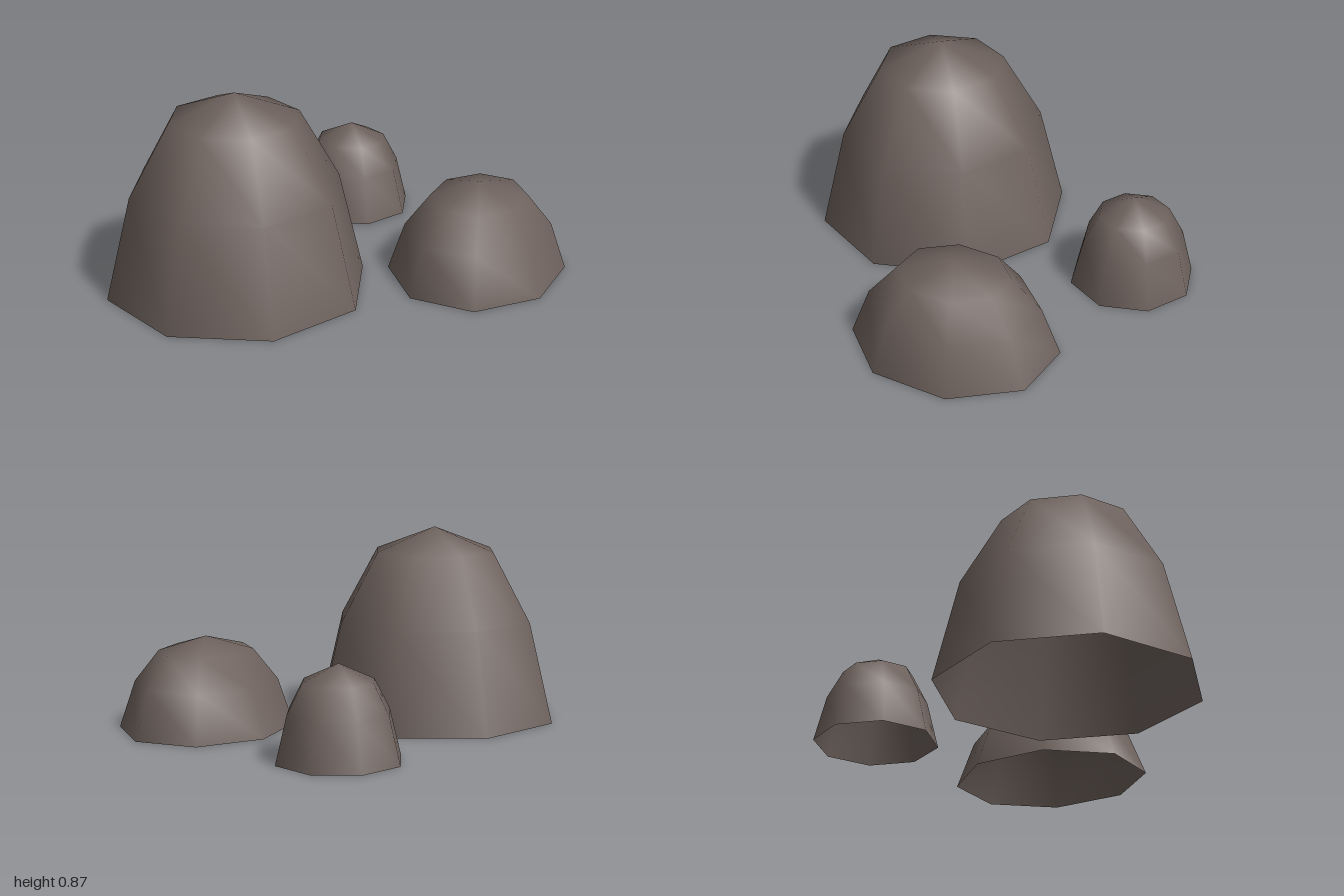
import * as THREE from 'three';
import { mergeVertices } from 'three/addons/utils/BufferGeometryUtils.js';

// Eight-sided open dome. ax and az are the [x, z] half-axes of its base;
// rings are [fraction of base radius, height], the last one being the peak.
function makeRock(name, material, center, ax, az, rings) {
  const profile = rings.map(([r, y]) => new THREE.Vector2(r, y));
  let geometry = new THREE.LatheGeometry(profile, 8);

  // Stretch and turn the round footprint onto its two half-axes
  geometry.applyMatrix4(new THREE.Matrix4().makeBasis(
    new THREE.Vector3(ax[0], 0, ax[1]),
    new THREE.Vector3(0, 1, 0),
    new THREE.Vector3(az[0], 0, az[1])
  ));

  // Weld the seam and peak so the shading is smooth all round
  geometry.deleteAttribute('normal');
  geometry.deleteAttribute('uv');
  geometry = mergeVertices(geometry, 1e-4);
  geometry.computeVertexNormals();

  const mesh = new THREE.Mesh(geometry, material);
  mesh.name = name;
  mesh.position.set(center[0], 0, center[1]);
  return mesh;
}

export function createModel() {
  const group = new THREE.Group();
  group.name = 'rocks';

  const stone = new THREE.MeshStandardMaterial({ color: 0x6e625d, side: THREE.DoubleSide });
  stone.name = 'brown stone';

  group.add(
    // Tall round rock
    makeRock('largeRock', stone, [-0.43, 0.197], [0.57, 0], [0, 0.57],
      [[1, 0], [0.805, 0.452], [0.495, 0.763], [0, 0.87]]),
    // Low oval rock, set diagonally
    makeRock('mediumRock', stone, [0.615, 0.355], [0.387, -0.207], [0.138, 0.372],
      [[1, 0], [0.82, 0.208], [0.54, 0.346], [0, 0.407]]),
    // Small round rock, turned slightly
    makeRock('smallRock', stone, [0.315, -0.5], [0.276, 0.006], [-0.006, 0.276],
      [[1, 0], [0.815, 0.206], [0.57, 0.333], [0, 0.406]])
  );
  return group;
}
